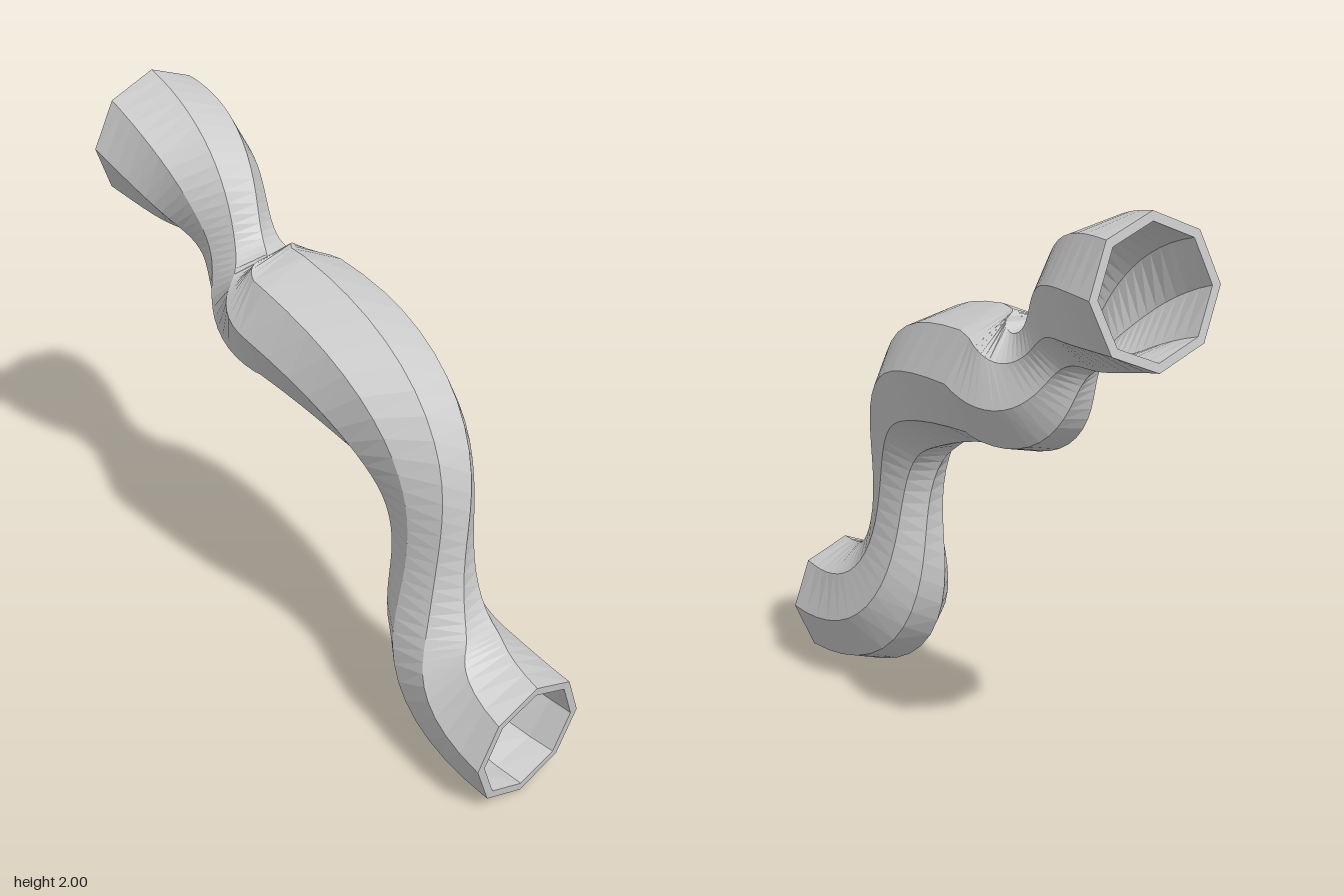
import * as THREE from 'three';

const SIDES = 8, STEPS = 30, R = 0.235, WALL = 0.87;
const v = (x, y) => new THREE.Vector3(x, y, 0);

// Two S-bends; each one twists the octagon a quarter turn and narrows at its waist
const bends = [
  new THREE.CubicBezierCurve3(v(-0.965, 1.77), v(-0.34, 1.70), v(-0.6, 1.31), v(-0.175, 1.36)),
  new THREE.CubicBezierCurve3(v(-0.175, 1.36), v(1.01, 1.24), v(0.01, 0.33), v(0.95, 0.24)),
];

// One octagonal cross-section of the pipe
function ring(curve, t, turn, scale) {
  const c = curve.getPoint(t), d = curve.getTangent(t);
  const s = Math.sin(Math.PI * t) ** 2;
  const across = (R - 0.085 * s * s) * scale;
  const deep = (R - 0.115 * s) * scale;
  return Array.from({ length: SIDES }, (_, i) => {
    const a = (i / SIDES) * Math.PI * 2 + turn;
    const n = across * Math.cos(a);
    return [c.x - d.y * n, c.y + d.x * n, deep * Math.sin(a)];
  });
}

// All cross-sections from the upper to the lower opening
function skin(scale) {
  const rings = [];
  bends.forEach((curve, b) => {
    for (let k = 0; k < STEPS + b; k++) {
      const t = k / STEPS;
      rings.push(ring(curve, t, (b + t) * Math.PI / 2, scale));
    }
  });
  return rings;
}

export function createModel() {
  // Outer skin forward, inner skin back; closing the loop makes the end rims
  const loop = [...skin(1), ...skin(WALL).reverse()];
  const pos = [];
  loop.forEach((a, k) => {
    const b = loop[(k + 1) % loop.length];
    for (let i = 0; i < SIDES; i++) {
      const j = (i + 1) % SIDES;
      pos.push(...a[i], ...a[j], ...b[i], ...a[j], ...b[j], ...b[i]);
    }
  });
  const geometry = new THREE.BufferGeometry();
  geometry.setAttribute('position', new THREE.Float32BufferAttribute(pos, 3));
  geometry.computeVertexNormals();

  const pipe = new THREE.Mesh(geometry, new THREE.MeshStandardMaterial({ color: 0xcccccc, flatShading: true }));
  pipe.name = 'twistedPipe';
  const group = new THREE.Group();
  group.name = 'bentPipe';
  group.add(pipe);
  return group;
}
